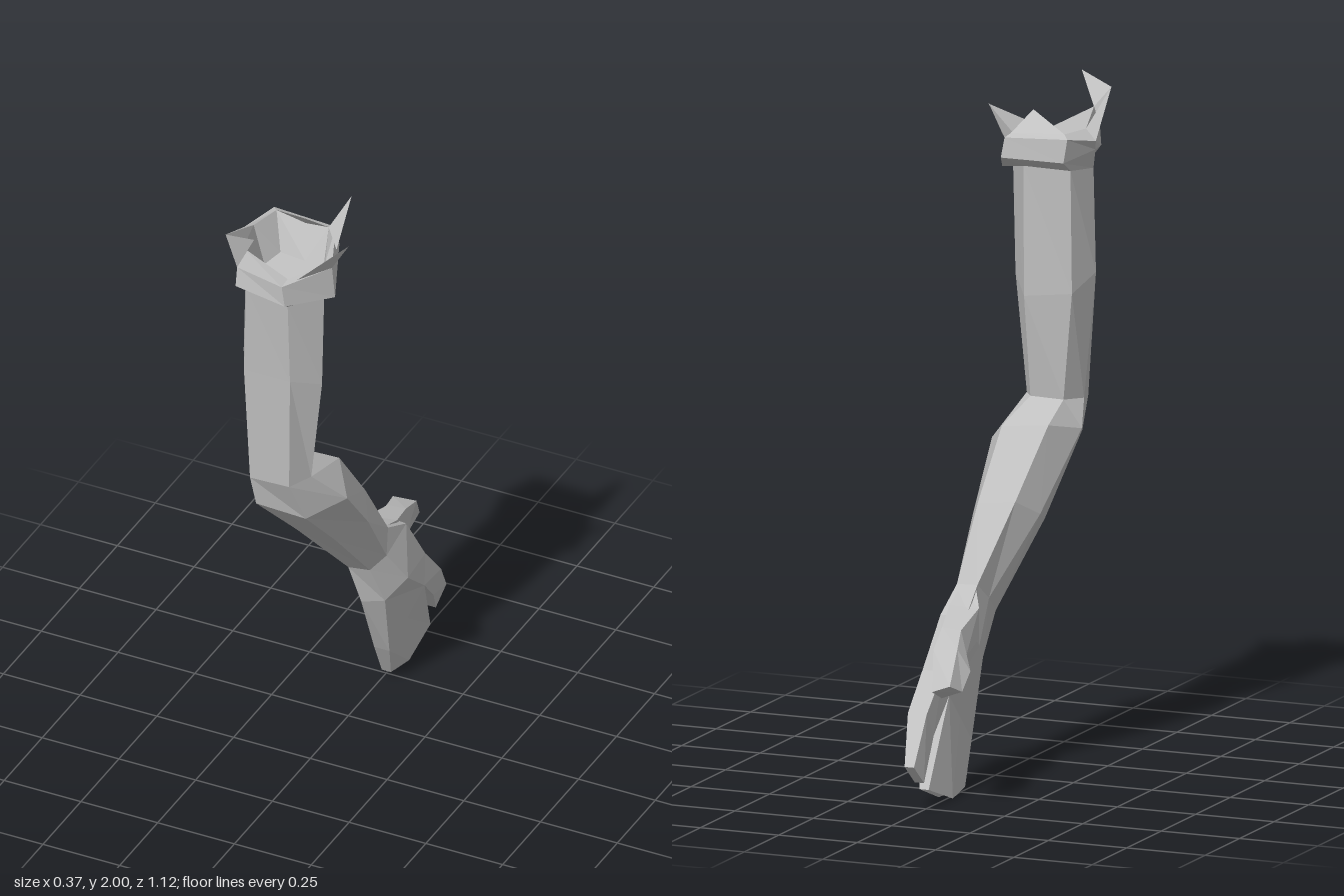
import * as THREE from 'three';

const skin = new THREE.MeshStandardMaterial({ color: 0xc0c0c0, flatShading: true, side: THREE.DoubleSide });
skin.name = 'grey';

// Mesh from a list of triangles, each corner an [x, y, z] point
function faceted(name, triangles) {
  const geometry = new THREE.BufferGeometry();
  geometry.setAttribute('position', new THREE.Float32BufferAttribute(triangles.flat(2), 3));
  geometry.computeVertexNormals();
  const mesh = new THREE.Mesh(geometry, skin);
  mesh.name = name;
  return mesh;
}

// Skin a row of cross-sections, with optional end caps
function loft(name, rings, capStart = false, capEnd = false) {
  const tris = [];
  const n = rings[0].length;
  for (let r = 0; r < rings.length - 1; r++) {
    const a = rings[r], b = rings[r + 1];
    for (let i = 0; i < n; i++) {
      const j = (i + 1) % n;
      tris.push([a[i], b[i], b[j]], [a[i], b[j], a[j]]);
    }
  }
  const first = rings[0], last = rings[rings.length - 1];
  for (let i = 1; i < n - 1; i++) {
    if (capStart) tris.push([first[0], first[i], first[i + 1]]);
    if (capEnd) tris.push([last[0], last[i + 1], last[i]]);
  }
  return faceted(name, tris);
}

// Thin torn point: a triangular base rising to a tip
function spike(a, b, c, tip) {
  return [[a, b, tip], [b, c, tip], [c, a, tip]];
}

export function createModel() {
  const model = new THREE.Group();
  model.name = 'arm';

  // Six-sided sections: two front corners, +x side, two back corners, -x side
  const shoulder = [[-0.1, 1.76, 0.47], [0.035, 1.73, 0.47], [0.112, 1.74, 0.385], [0.02, 1.77, 0.25], [-0.135, 1.77, 0.24], [-0.16, 1.76, 0.35]];
  const elbow = [[-0.11, 1.06, 0.425], [0.015, 1.06, 0.42], [0.055, 1.07, 0.355], [0.015, 1.075, 0.29], [-0.095, 1.075, 0.28], [-0.13, 1.07, 0.35]];
  const wrist = [[-0.015, 0.5, -0.03], [0.055, 0.51, -0.03], [0.085, 0.54, -0.08], [0.06, 0.595, -0.14], [-0.01, 0.6, -0.15], [-0.02, 0.55, -0.09]];

  // Ragged collar, from the sunken floor up over the rim and down to the arm
  const floor = [[-0.1, 1.75, 0.43], [0.03, 1.75, 0.43], [0.09, 1.76, 0.36], [0.0, 1.77, 0.285], [-0.085, 1.77, 0.275], [-0.105, 1.76, 0.34]];
  const rim = [[-0.1, 1.91, 0.49], [0.04, 1.835, 0.48], [0.105, 1.84, 0.365], [0.05, 1.87, 0.23], [-0.12, 1.88, 0.23], [-0.145, 1.88, 0.33]];
  const outerHigh = [[-0.11, 1.85, 0.51], [0.04, 1.83, 0.52], [0.13, 1.835, 0.37], [0.06, 1.86, 0.205], [-0.14, 1.87, 0.205], [-0.185, 1.85, 0.31]];
  const outerLow = [[-0.11, 1.79, 0.52], [0.05, 1.765, 0.52], [0.14, 1.735, 0.37], [0.07, 1.8, 0.2], [-0.13, 1.8, 0.2], [-0.175, 1.82, 0.33]];
  model.add(loft('collar', [floor, rim, outerHigh, outerLow, shoulder], true));

  // Torn points standing on the collar
  const bend = [-0.14, 1.965, 0.525];
  model.add(faceted('tornPoints', [
    ...spike(outerHigh[5], outerHigh[0], rim[5], bend),
    ...spike(outerHigh[0], rim[0], bend, [-0.03, 2.0, 0.56]),
    ...spike(outerHigh[2], [0.07, 1.84, 0.48], rim[2], [0.18, 1.92, 0.36]),
    ...spike(outerHigh[3], [0.11, 1.85, 0.3], rim[3], [0.1, 1.965, 0.18]),
    ...spike(rim[3], rim[4], [-0.02, 1.87, 0.24], [0.01, 1.93, 0.3]),
  ]));

  // Upper arm down to the elbow
  model.add(loft('upperArm', [
    shoulder,
    [[-0.12, 1.45, 0.445], [0.03, 1.45, 0.445], [0.1, 1.42, 0.375], [0.02, 1.38, 0.255], [-0.135, 1.4, 0.25], [-0.17, 1.45, 0.345]],
    elbow,
  ]));

  // Bent forearm
  model.add(loft('forearm', [
    elbow,
    [[-0.1, 0.96, 0.405], [0.04, 0.92, 0.36], [0.12, 0.95, 0.25], [0.045, 1.01, 0.15], [-0.095, 1.02, 0.17], [-0.145, 0.99, 0.3]],
    [[-0.08, 0.74, 0.18], [0.045, 0.73, 0.17], [0.105, 0.76, 0.08], [0.055, 0.81, 0], [-0.06, 0.82, 0.01], [-0.1, 0.77, 0.1]],
    wrist,
  ]));

  // Flat palm, ending in a knuckle row shared with the fingers
  const [low1, low2, gap2, high2, high1, gap1] = [[0, 0.14, -0.17], [0.05, 0.14, -0.17], [0.095, 0.3, -0.31], [0.075, 0.38, -0.355], [0.01, 0.38, -0.355], [0.01, 0.3, -0.31]];
  model.add(loft('palm', [
    wrist,
    [[0.01, 0.365, -0.065], [0.08, 0.38, -0.08], [0.12, 0.43, -0.15], [0.055, 0.53, -0.27], [-0.03, 0.53, -0.28], [-0.02, 0.42, -0.16]],
    [low1, low2, gap2, high2, high1, gap1],
  ]));

  // Joined outer fingers
  model.add(loft('joinedFingers', [
    [low1, low2, [0.0725, 0.22, -0.24], gap2, gap1, [0.005, 0.22, -0.24]],
    [[-0.01, 0.015, -0.24], [0.02, 0.015, -0.24], [0.03, 0, -0.34], [0.035, 0.05, -0.47], [0.005, 0.05, -0.47], [-0.015, 0, -0.34]],
  ], false, true));

  // Separate pointing finger
  model.add(loft('pointingFinger', [
    [gap1, gap2, high2, high1],
    [[0.015, 0.2, -0.41], [0.075, 0.2, -0.41], [0.08, 0.27, -0.45], [0.02, 0.27, -0.45]],
    [[0, 0.08, -0.515], [0.03, 0.08, -0.515], [0.04, 0.135, -0.565], [0.01, 0.135, -0.565]],
  ], false, true));

  // Thumb growing out of the palm, curling forward and down
  model.add(loft('thumb', [
    [[-0.015, 0.5, -0.15], [0.03, 0.48, -0.17], [0.045, 0.585, -0.16], [-0.01, 0.59, -0.16]],
    [[-0.05, 0.46, -0.23], [0.03, 0.43, -0.27], [0.04, 0.555, -0.24], [-0.05, 0.55, -0.23]],
    [[-0.065, 0.43, -0.36], [0.01, 0.42, -0.36], [0.01, 0.515, -0.36], [-0.05, 0.51, -0.36]],
    [[-0.115, 0.41, -0.44], [-0.035, 0.4, -0.41], [-0.01, 0.47, -0.47], [-0.08, 0.475, -0.455]],
    [[-0.115, 0.36, -0.5], [-0.05, 0.335, -0.5], [-0.045, 0.365, -0.56], [-0.1, 0.385, -0.555]],
  ], true, true));

  return model;
}
